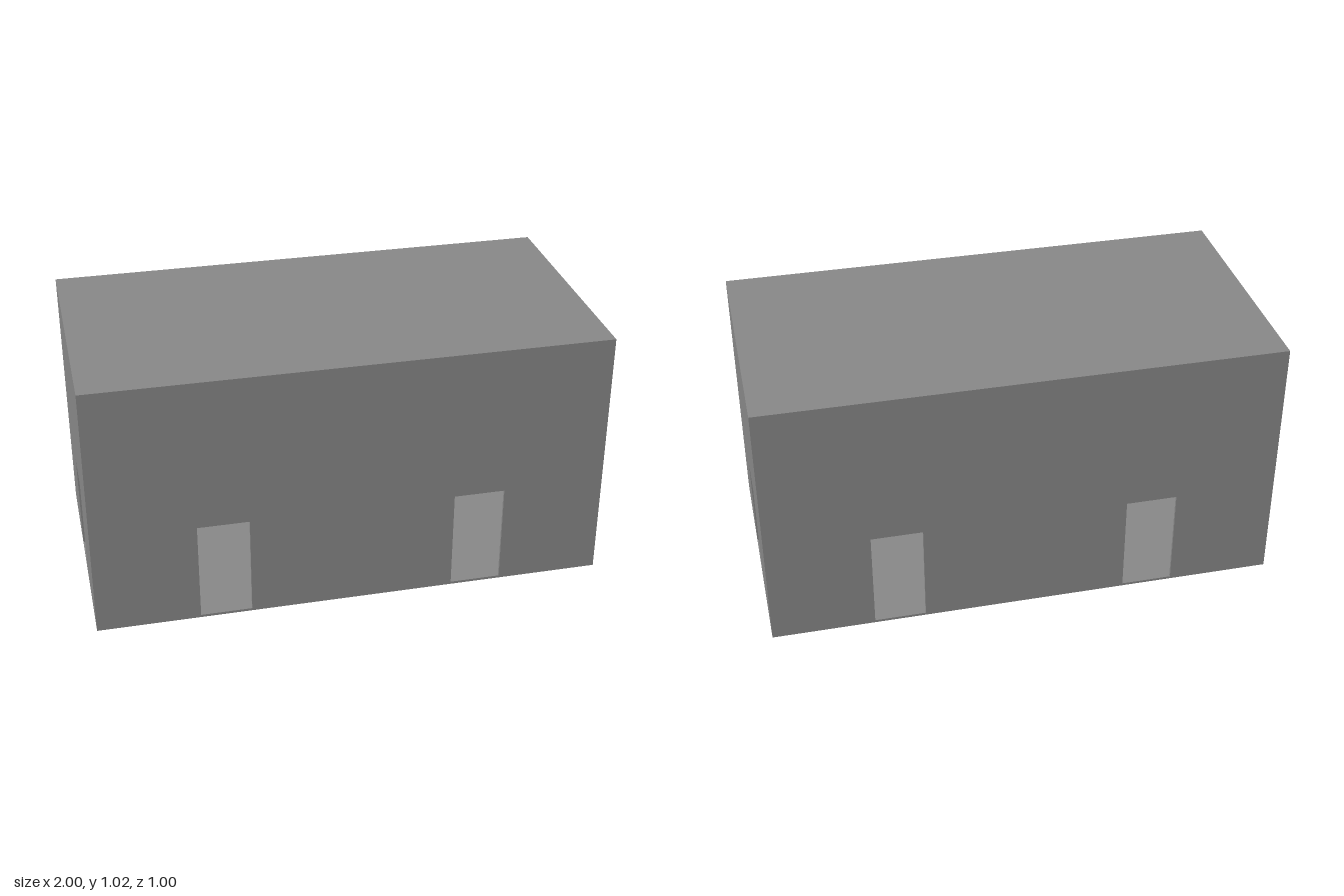
import * as THREE from 'three';

const T = 0.01;           // thickness of walls, floor and roof
const W = 2, D = 1, H = 1; // outer width, depth and wall height
const DOOR_W = 0.2, DOOR_H = 0.4;

const material = new THREE.MeshStandardMaterial({ color: 0x878787 });

// Upright wall with doorways cut up from its bottom edge, centred on its own thickness
function wall(name, length, doorCentres) {
  const s = new THREE.Shape();
  s.moveTo(-length / 2, 0);
  for (const c of doorCentres) {
    s.lineTo(c - DOOR_W / 2, 0);
    s.lineTo(c - DOOR_W / 2, DOOR_H);
    s.lineTo(c + DOOR_W / 2, DOOR_H);
    s.lineTo(c + DOOR_W / 2, 0);
  }
  s.lineTo(length / 2, 0);
  s.lineTo(length / 2, H);
  s.lineTo(-length / 2, H);
  s.closePath();
  const geometry = new THREE.ExtrudeGeometry(s, { depth: T, bevelEnabled: false });
  geometry.translate(0, 0, -T / 2);
  const mesh = new THREE.Mesh(geometry, material);
  mesh.name = name;
  mesh.position.y = T;
  return mesh;
}

// Flat slab covering the whole footprint
function slab(name, y) {
  const mesh = new THREE.Mesh(new THREE.BoxGeometry(W, T, D), material);
  mesh.name = name;
  mesh.position.y = y;
  return mesh;
}

export function createModel() {
  const building = new THREE.Group();
  building.name = 'building';

  building.add(slab('floor', T / 2), slab('roof', T + H + T / 2));

  // Long walls with two doorways each
  for (const [name, side] of [['frontWall', 1], ['backWall', -1]]) {
    const w = wall(name, W, [-0.5, 0.5]);
    w.position.z = side * (D - T) / 2;
    building.add(w);
  }

  // End walls with one central doorway, fitted between the long walls
  for (const [name, side] of [['leftWall', 1], ['rightWall', -1]]) {
    const w = wall(name, D - 2 * T, [0]);
    w.rotation.y = Math.PI / 2;
    w.position.x = side * (W - T) / 2;
    building.add(w);
  }

  return building;
}
